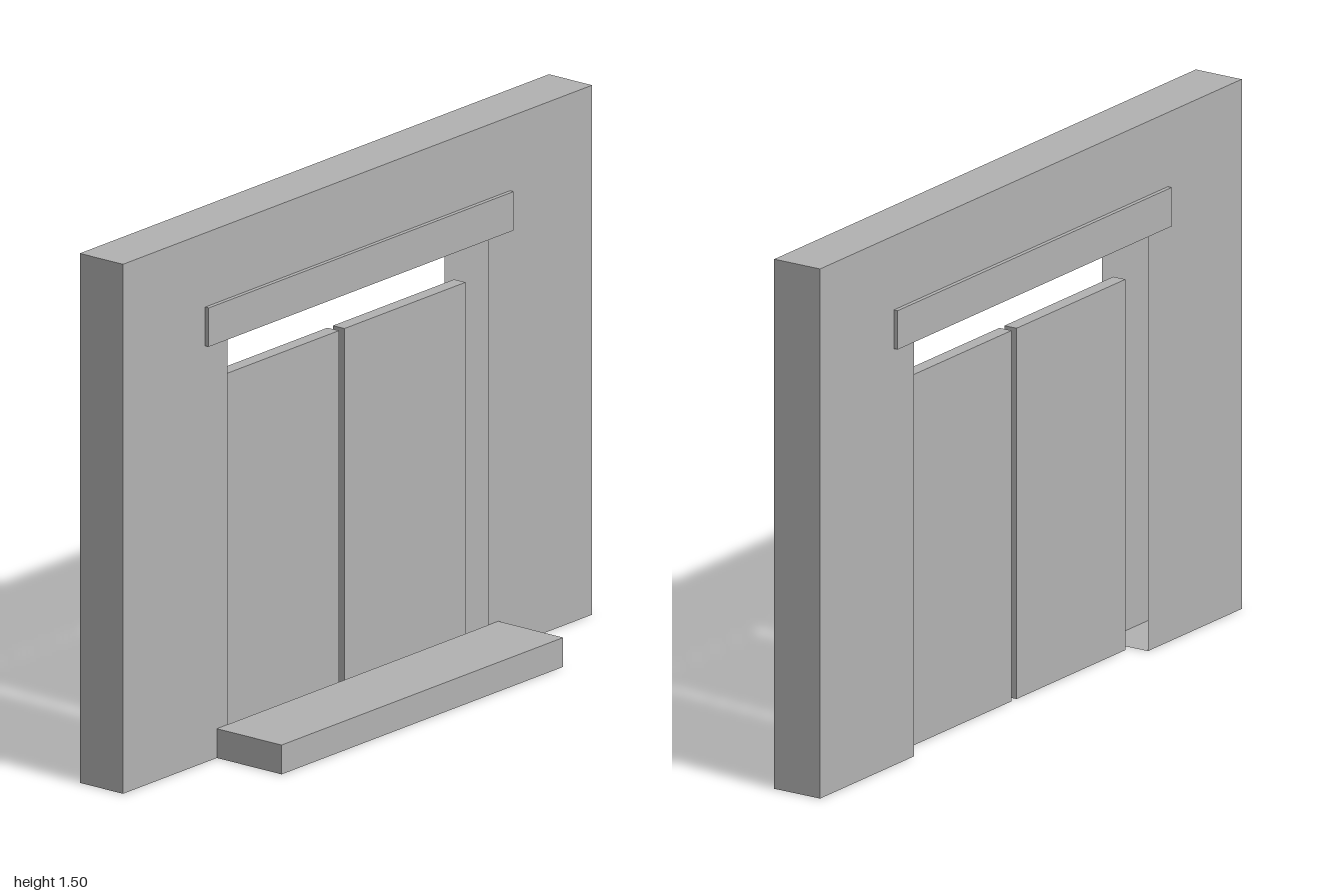
import * as THREE from 'three';

export function createModel() {
  const model = new THREE.Group();
  const plainGrey = new THREE.MeshStandardMaterial({ color: 0xb2b2b2 });
  plainGrey.name = 'plainGrey';
  plainGrey.side = THREE.DoubleSide; // wall and step are open shells

  const add = (parent, name, geometry, x = 0, y = 0, z = 0) => {
    const mesh = new THREE.Mesh(geometry, plainGrey);
    mesh.name = name;
    mesh.position.set(x, y, z);
    parent.add(mesh);
    return mesh;
  };
  // Flat sheets: level ones face up (dir 1) or down (-1), upright ones face +x or -x
  const level = (w, d, dir) => new THREE.PlaneGeometry(w, d).rotateX(-dir * Math.PI / 2);
  const upright = (d, h, dir) => new THREE.PlaneGeometry(d, h).rotateY(dir * Math.PI / 2);

  // Hollow wall with a doorway whose jambs are left open
  const W = 1, H = 1.5, doorW = 0.555, doorH = 1.2;
  const front = -0.03, back = -0.18, mid = (front + back) / 2, thick = front - back;
  const wall = new THREE.Group();
  wall.name = 'wall';
  const outline = new THREE.Shape([
    [-W, 0], [-doorW, 0], [-doorW, doorH], [doorW, doorH],
    [doorW, 0], [W, 0], [W, H], [-W, H],
  ].map(([x, y]) => new THREE.Vector2(x, y)));
  add(wall, 'wallFront', new THREE.ShapeGeometry(outline), 0, 0, front);
  add(wall, 'wallBack', new THREE.ShapeGeometry(outline).rotateY(Math.PI), 0, 0, back);
  add(wall, 'wallTop', level(2 * W, thick, 1), 0, H, mid);
  for (const s of [-1, 1]) {
    const side = s > 0 ? 'left' : 'right';
    add(wall, side + 'WallEnd', upright(thick, H, s), s * W, H / 2, mid);
    add(wall, side + 'WallFoot', level(W - doorW, thick, -1), s * (W + doorW) / 2, 0, mid);
  }
  model.add(wall);

  // Lintel running through the wall, proud on both faces
  add(model, 'lintel', new THREE.BoxGeometry(1.3, 0.11, 0.175), 0, 1.235, mid);

  // Pair of door leaves
  for (const s of [-1, 1]) {
    add(model, s > 0 ? 'leftDoor' : 'rightDoor',
      new THREE.BoxGeometry(0.516, 1.05, 0.04), s * 0.27, 0.525, mid);
  }

  // Doorstep, open underneath
  const stepW = 1.2, stepH = 0.083, stepFront = 0.195;
  const stepD = stepFront - front, stepZ = (stepFront + front) / 2;
  const step = new THREE.Group();
  step.name = 'doorstep';
  add(step, 'stepTop', level(stepW, stepD, 1), 0, stepH, stepZ);
  add(step, 'stepFront', new THREE.PlaneGeometry(stepW, stepH), 0, stepH / 2, stepFront);
  add(step, 'stepBack', new THREE.PlaneGeometry(2 * doorW, stepH).rotateY(Math.PI), 0, stepH / 2, front);
  for (const s of [-1, 1]) {
    add(step, s > 0 ? 'leftStepEnd' : 'rightStepEnd',
      upright(stepD, stepH, s), s * stepW / 2, stepH / 2, stepZ);
  }
  model.add(step);

  return model;
}
